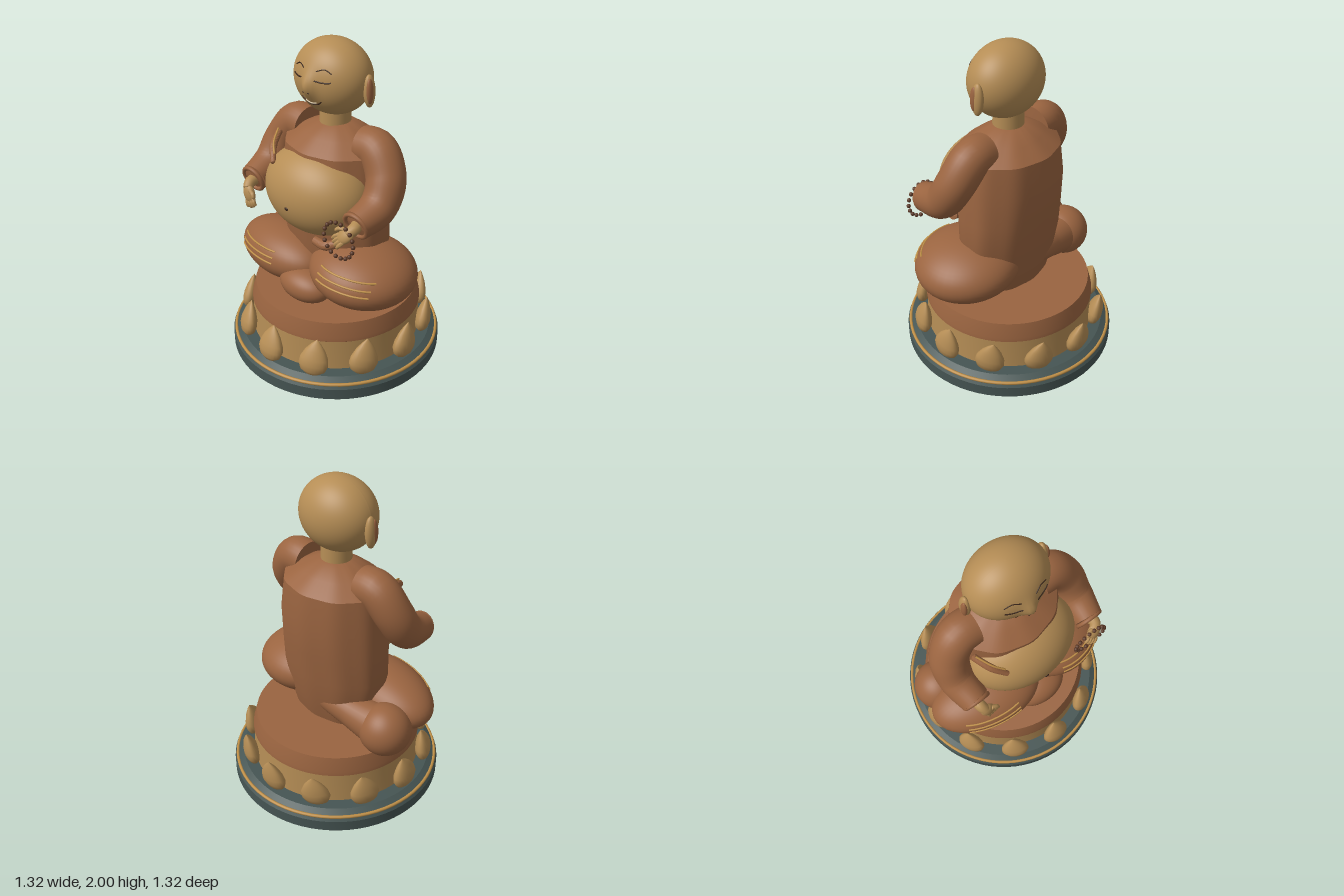
import * as THREE from 'three';
import { toCreasedNormals } from 'three/addons/utils/BufferGeometryUtils.js';

const mat = (name, color) => {
  const m = new THREE.MeshStandardMaterial({ color });
  m.name = name;
  return m;
};
const V = (x, y, z) => new THREE.Vector3(x, y, z);

export function createModel() {
  const root = new THREE.Group();
  root.name = 'seatedFigure';
  const skin = mat('warm gold', 0xb58d55);
  const robe = mat('russet robe', 0x9a6440);
  const slate = mat('slate base', 0x465553);
  const trim = mat('gold trim', 0xc09048);
  const dark = mat('dark brown', 0x3a261a);
  const beadBrown = mat('bead brown', 0x5c3a28);
  const ivory = mat('ivory', 0xd3c2a4);

  const add = (name, geometry, material, parent = root) => {
    const m = new THREE.Mesh(geometry, material);
    m.name = name;
    parent.add(m);
    return m;
  };
  const ellipsoid = (name, material, c, r, rot = [0, 0, 0], parent = root, seg = 40) => {
    const m = add(name, new THREE.SphereGeometry(1, seg, seg * 0.7 | 0), material, parent);
    m.position.set(...c);
    m.scale.set(...r);
    m.rotation.set(...rot);
    return m;
  };
  const lathe = (name, material, pts, seg = 72) => add(name, toCreasedNormals(
    new THREE.LatheGeometry(pts.map(p => new THREE.Vector2(...p)), seg), 0.4), material);
  const tube = (name, material, pts, r, parent = root) => add(name,
    new THREE.TubeGeometry(new THREE.CatmullRomCurve3(pts), 24, r, 8), material, parent);

  // Tube whose radius follows a list, closed at both ends
  const limb = (name, material, pts, radii, parent = root, seg = 32, sides = 28) => {
    const curve = new THREE.CatmullRomCurve3(pts.map(p => V(...p)));
    const g = new THREE.TubeGeometry(curve, seg, 1, sides);
    const p = g.attributes.position, v = V(0, 0, 0);
    for (let i = 0; i <= seg; i++) {
      const u = i / seg, c = curve.getPointAt(u), f = u * (radii.length - 1);
      const k = Math.min(f | 0, radii.length - 2);
      const r = i === 0 || i === seg ? 0.0001 : THREE.MathUtils.lerp(radii[k], radii[k + 1], f - k);
      for (let j = 0; j <= sides; j++) {
        const n = i * (sides + 1) + j;
        v.fromBufferAttribute(p, n).sub(c).multiplyScalar(r).add(c);
        p.setXYZ(n, v.x, v.y, v.z);
      }
    }
    return add(name, toCreasedNormals(g, 0.8), material, parent);
  };

  // Lay a line on the front of a surface
  const ray = new THREE.Raycaster();
  const drape = (target, pts, lift = 0.001) => {
    target.updateMatrixWorld(true);
    const flat = new THREE.CatmullRomCurve3(pts.map(([x, y]) => V(x, y, 0)));
    return flat.getPoints(12).map(p => {
      ray.set(V(p.x, p.y, 2), V(0, 0, -1));
      const hit = ray.intersectObject(target)[0];
      return hit && hit.point.add(V(0, 0, lift));
    }).filter(Boolean);
  };

  // Pedestal
  lathe('base', slate, [[0, 0], [0.62, 0], [0.66, 0.03], [0.66, 0.1], [0.645, 0.122], [0.6, 0.15], [0, 0.15]]);
  const rim = add('baseTrim', new THREE.TorusGeometry(0.642, 0.01, 8, 72), trim);
  rim.rotation.x = Math.PI / 2;
  rim.position.y = 0.123;
  lathe('drum', skin, [[0, 0.14], [0.53, 0.14], [0.52, 0.34], [0, 0.34]]);
  lathe('cushion', robe, [[0, 0.33], [0.51, 0.33], [0.527, 0.345], [0.525, 0.37], [0.5, 0.46], [0, 0.46]]);

  // Lotus petals, all leaning the same way
  const petalShape = new THREE.LatheGeometry([[0, -0.11], [0.04, -0.105], [0.075, -0.08], [0.09, -0.04],
    [0.084, 0], [0.06, 0.05], [0.03, 0.09], [0, 0.12]].map(p => new THREE.Vector2(...p)), 24);
  petalShape.scale(1, 1, 0.55);
  for (let i = 0; i < 12; i++) {
    const a = i * Math.PI / 6;
    const petal = add('petal', petalShape, skin);
    petal.position.set(Math.sin(a) * 0.565, 0.25, Math.cos(a) * 0.565);
    petal.rotation.set(-0.22, a, 0);
  }

  // Folded legs
  const rightLeg = ellipsoid('rightLeg', robe, [-0.27, 0.635, 0.17], [0.36, 0.165, 0.22], [0, -0.2, 0.05]);
  const leftLeg = ellipsoid('leftLeg', robe, [0.29, 0.67, 0.075], [0.325, 0.182, 0.315], [0, 0, -0.07]);
  ellipsoid('foot', robe, [0.04, 0.57, 0.31], [0.18, 0.1, 0.12]);
  limb('rightThigh', robe, [[0, 0.67, -0.15], [-0.25, 0.61, -0.11], [-0.46, 0.57, -0.07]], [0.08, 0.1, 0.14]);
  ellipsoid('rightKnee', robe, [-0.46, 0.57, -0.07], [0.16, 0.16, 0.16]);

  // Gold stripes over the knees
  for (let i = 0; i < 3; i++) {
    const y = 0.035 * i;
    tube('rightLegStripe', trim, drape(rightLeg, [[-0.5, 0.63 + y], [-0.33, 0.645 + y], [-0.16, 0.655 + y]]), 0.006);
    tube('leftLegStripe', trim, drape(leftLeg, [[0.19, 0.7 + y], [0.36, 0.695 + y], [0.52, 0.68 + y]]), 0.006);
  }

  // Robe body: rings of [y, half width, half depth], with soft folds
  const rings = [[0.5, 0.29, 0.19], [0.65, 0.32, 0.23], [0.82, 0.36, 0.25], [1.0, 0.35, 0.272], [1.2, 0.345, 0.285],
    [1.39, 0.32, 0.268], [1.46, 0.22, 0.18], [1.52, 0.1, 0.09]];
  const body = new THREE.CylinderGeometry(1, 1, 1, 64, rings.length - 1);
  const bp = body.attributes.position;
  for (let i = 0; i < bp.count; i++) {
    const [y, rx, rz] = rings[Math.round((bp.getY(i) + 0.5) * (rings.length - 1))];
    const x = bp.getX(i), z = bp.getZ(i);
    const fold = 1 + 0.012 * Math.cos(10 * Math.atan2(x, z));
    bp.setXYZ(i, x * rx * fold, y, z * rz * fold - 0.005);
  }
  add('robeBody', toCreasedNormals(body, 0.6), robe);

  // Belly, navel and the sash that crosses behind it
  ellipsoid('belly', skin, [0, 1.135, 0.15], [0.35, 0.265, 0.26], [0, 0, 0], root, 56);
  ellipsoid('navel', dark, [0, 1.1, 0.408], [0.014, 0.01, 0.006], [0, 0, 0], root, 16);
  limb('sashUpper', robe, [[-0.32, 1.4, 0.14], [-0.27, 1.35, 0.24], [-0.2, 1.28, 0.31]], [0.02, 0.022, 0.015]);
  tube('sashUpperTrim', trim, [V(-0.31, 1.42, 0.16), V(-0.26, 1.375, 0.245), V(-0.21, 1.33, 0.29)], 0.006);
  limb('sashLower', robe, [[0.08, 0.87, 0.27], [0.17, 0.87, 0.27], [0.24, 0.9, 0.24]], [0.025, 0.03, 0.025]);

  // Sleeves, cuffs and wrists
  for (const s of [-1, 1]) {
    limb('sleeve', robe, [[s * 0.2, 1.42, 0], [s * 0.31, 1.42, 0], [s * 0.405, 1.29, 0.035],
      [s * 0.425, 1.16, 0.12], [s * 0.41, 1.1, 0.295]], [0.115, 0.115, 0.112, 0.105, 0.085]);
    const cuff = add('cuff', new THREE.TorusGeometry(0.076, 0.013, 10, 32), robe);
    cuff.position.set(s * 0.41, 1.103, 0.285);
    cuff.rotation.x = 0.3;
  }

  // Hands hang from the wrist along -y
  const hand = (name, s, pos, rot) => {
    const h = new THREE.Group();
    h.name = name;
    h.position.set(...pos);
    h.rotation.set(...rot);
    root.add(h);
    ellipsoid('palm', skin, [0, -0.05, 0], [0.043, 0.058, 0.026], [0, 0, 0], h, 24);
    for (let i = 0; i < 4; i++) {
      const x = (i - 1.5) * 0.021;
      const tip = -0.145 + 0.008 * Math.abs(i - 1.5);
      limb('finger', skin, [[x * 0.8, -0.07, 0], [x, -0.115, 0.008], [x, tip, -0.002]], [0.012, 0.012, 0.009], h, 8, 10);
    }
    limb('thumb', skin, [[-s * 0.025, -0.03, 0.01], [-s * 0.05, -0.06, 0.018], [-s * 0.05, -0.088, 0.022]],
      [0.013, 0.013, 0.009], h, 8, 10);
  };
  hand('rightHand', -1, [-0.4, 1.085, 0.345], [-0.1, 0, 0.42]);
  hand('leftHand', 1, [0.43, 1.1, 0.335], [-0.5, 0, -0.7]);
  limb('rightWrist', skin, [[-0.41, 1.1, 0.26], [-0.405, 1.09, 0.32], [-0.39, 1.06, 0.35]], [0.036, 0.035, 0.03], root, 10, 16);
  limb('leftWrist', skin, [[0.41, 1.11, 0.26], [0.425, 1.1, 0.32], [0.4, 1.075, 0.355]], [0.036, 0.035, 0.03], root, 10, 16);

  // Prayer beads around the left hand
  const beadShape = new THREE.SphereGeometry(0.0125, 14, 10);
  for (let i = 0; i < 18; i++) {
    const a = i * Math.PI / 9;
    add('bead', beadShape, beadBrown).position.set(0.36 + Math.cos(a) * 0.107, 1.028 + Math.sin(a) * 0.107, 0.37);
  }

  // Neck and head, with the face drawn forward into a nose
  const neck = add('neck', new THREE.CylinderGeometry(0.088, 0.092, 0.16, 32), skin);
  neck.position.set(0, 1.55, 0.005);
  const skull = new THREE.SphereGeometry(1, 72, 56);
  skull.scale(0.24, 0.215, 0.197);
  const hp = skull.attributes.position;
  for (let i = 0; i < hp.count; i++) {
    const x = hp.getX(i), y = hp.getY(i), z = hp.getZ(i);
    if (z > 0) hp.setZ(i, z + 0.036 * Math.exp(-(x * x) / 0.0016 - (y + 0.015) ** 2 / 0.005));
  }
  skull.computeVertexNormals();
  const head = add('head', skull, skin);
  head.position.set(0, 1.785, 0.02);

  // Ears and facial features
  for (const s of [-1, 1]) {
    ellipsoid('ear', skin, [s * 0.247, 1.75, 0.004], [0.028, 0.092, 0.038], [0, 0, s * 0.05], root, 28);
    ellipsoid('innerEar', robe, [s * 0.262, 1.755, 0.017], [0.016, 0.07, 0.024], [0, 0, s * 0.05], root, 20);
    tube('eyelid', dark, drape(head, [[s * 0.045, 1.813], [s * 0.09, 1.808], [s * 0.135, 1.813]]), 0.004);
    tube('brow', dark, drape(head, [[s * 0.045, 1.862], [s * 0.09, 1.876], [s * 0.13, 1.858]]), 0.003);
    const [spot] = drape(head, [[s * 0.018, 1.742], [s * 0.019, 1.742]]);
    ellipsoid('nostril', dark, spot.toArray(), [0.006, 0.004, 0.003], [0, 0, 0], root, 10);
  }
  tube('smile', dark, drape(head, [[-0.072, 1.695], [-0.04, 1.672], [0, 1.664], [0.04, 1.672], [0.072, 1.695]]), 0.004);
  tube('teeth', ivory, drape(head, [[-0.04, 1.681], [0, 1.674], [0.04, 1.681]]), 0.005);

  return root;
}
